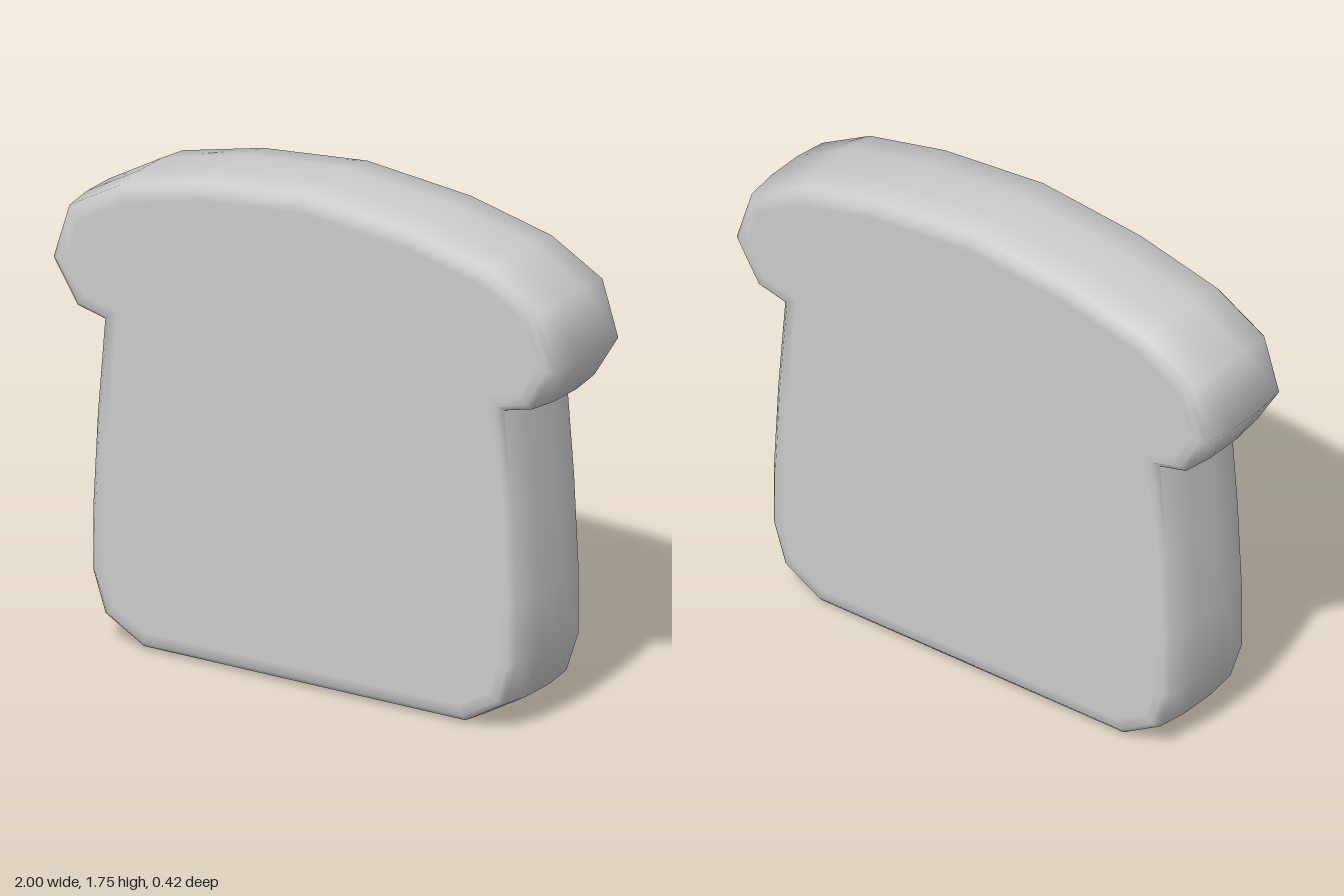
import * as THREE from 'three';
import { toCreasedNormals } from 'three/addons/utils/BufferGeometryUtils.js';

// Right half of the slice outline, from the crown down to the base
const HALF = [
  [0, 1.75], [0.41, 1.71], [0.73, 1.635], [0.935, 1.52], [1, 1.315], [0.9, 1.155],
  [0.797, 1.13], [0.825, 0.8], [0.843, 0.47], [0.843, 0.24], [0.793, 0.09], [0.635, 0],
];

// Cross-sections from back to front: [z, inset]
const FRONT = [[0.07, 0], [0.19, 0.012], [0.21, 0.033], [0.21, 0.07]];
const RINGS = [...FRONT.map(([z, d]) => [-z, d]).reverse(), ...FRONT];

// Moves every corner of a counter-clockwise outline inwards along its mitre
function insetOutline(pts, d) {
  const n = pts.length;
  return pts.map((p, i) => {
    const a = p.clone().sub(pts[(i + n - 1) % n]).normalize();
    const b = pts[(i + 1) % n].clone().sub(p).normalize();
    const na = new THREE.Vector2(-a.y, a.x);
    const nb = new THREE.Vector2(-b.y, b.x);
    const m = na.clone().add(nb).normalize();
    return p.clone().addScaledVector(m, d / m.dot(na));
  });
}

function breadGeometry() {
  const left = HALF.map(([x, y]) => new THREE.Vector2(-x, y));
  const right = HALF.slice(1).reverse().map(([x, y]) => new THREE.Vector2(x, y));
  const outline = [...left, ...right];
  const n = outline.length;
  const positions = [];
  const index = [];

  for (const [z, d] of RINGS) {
    for (const p of insetOutline(outline, d)) positions.push(p.x, p.y, z);
  }

  // Crust and rounded rims
  for (let r = 0; r < RINGS.length - 1; r++) {
    for (let i = 0; i < n; i++) {
      const j = (i + 1) % n;
      const a = r * n + i, b = r * n + j, c = b + n, e = a + n;
      index.push(a, b, c, a, c, e);
    }
  }

  // Flat front and back faces
  const last = (RINGS.length - 1) * n;
  const cap = insetOutline(outline, RINGS[0][1]);
  for (const [a, b, c] of THREE.ShapeUtils.triangulateShape(cap, [])) {
    index.push(last + a, last + b, last + c, a, c, b);
  }

  const geometry = new THREE.BufferGeometry();
  geometry.setAttribute('position', new THREE.Float32BufferAttribute(positions, 3));
  geometry.setIndex(index);
  // Smooth everywhere except the notch below the crown
  return toCreasedNormals(geometry, 1.15);
}

export function createModel() {
  const group = new THREE.Group();
  group.name = 'breadSlice';
  const slice = new THREE.Mesh(
    breadGeometry(),
    new THREE.MeshStandardMaterial({ color: 0xcccccc }),
  );
  slice.name = 'slice';
  group.add(slice);
  return group;
}
